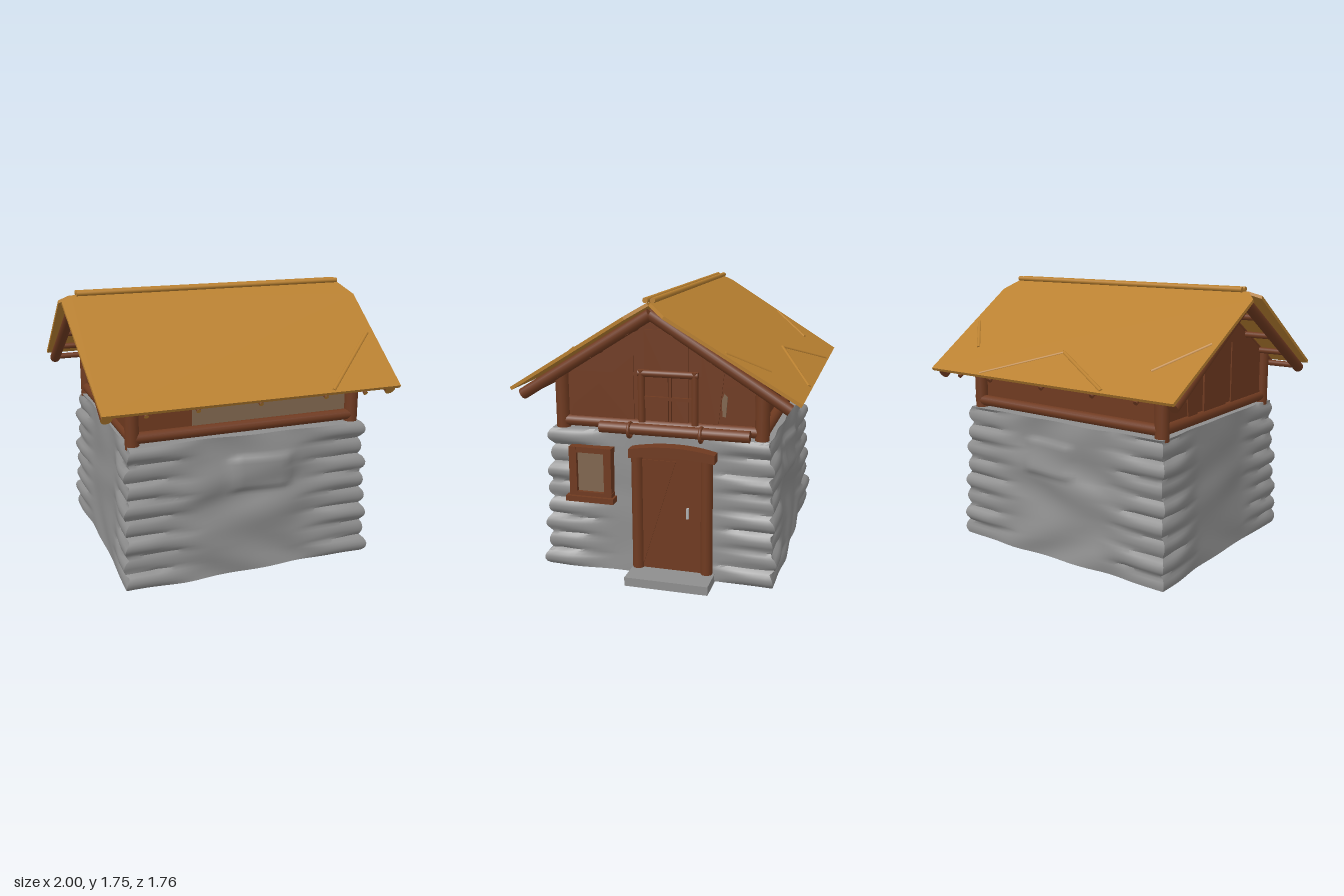
import * as THREE from 'three';
import { mergeVertices, toCreasedNormals } from 'three/addons/utils/BufferGeometryUtils.js';

const mat = (name, color) => Object.assign(new THREE.MeshStandardMaterial({ color }), { name });

export function createModel() {
  const wood = mat('brown wood', 0x6f3a20);
  const straw = mat('straw', 0xb98030);
  const stone = mat('grey stone', 0x8e8e8e);
  const pane = mat('dusty tan', 0x80664f);
  const metal = mat('light metal', 0xb0b0b0);
  const house = new THREE.Group();
  house.name = 'cottage';

  const add = (name, geo, material, parent = house) => {
    const m = new THREE.Mesh(geo, material);
    m.name = name;
    parent.add(m);
    return m;
  };
  const box = (name, sx, sy, sz, x, y, z, material) =>
    add(name, new THREE.BoxGeometry(sx, sy, sz), material).position.set(x, y, z);
  // Round pole from a to b
  const log = (name, a, b, r, material = wood) => {
    const p = new THREE.Vector3(...a), q = new THREE.Vector3(...b);
    const d = q.clone().sub(p);
    const m = add(name, new THREE.CylinderGeometry(r, r, d.length(), 12), material);
    m.position.copy(p).add(q).multiplyScalar(0.5);
    m.quaternion.setFromUnitVectors(new THREE.Vector3(0, 1, 0), d.normalize());
    return m;
  };
  // Plate facing +x, outlined by [z, y] points
  const plateX = (name, pts, x, depth, material = wood) => {
    const shape = new THREE.Shape(pts.map(([z, y]) => new THREE.Vector2(-z, y)));
    const m = add(name, new THREE.ExtrudeGeometry(shape, { depth, bevelEnabled: false }), material);
    m.rotation.y = Math.PI / 2;
    m.position.x = x;
    return m;
  };

  // Stone walls: a box pushed out into rounded courses at the corners and soft lumps between
  const HX = 0.75, HZ = 0.66, H = 0.9;
  const ss = THREE.MathUtils.smoothstep;
  const bulge = (u, y, half, seed, lumps) => {
    const corner = ss(Math.abs(u), half * 0.35, half * 0.85);
    const phase = y / 0.115 + 0.12 * Math.sin(u * 5 + seed) + 0.15;
    const course = Math.pow(Math.abs(Math.sin(Math.PI * phase)), 0.55);
    const vary = 0.8 + 0.25 * Math.sin(Math.floor(phase) * 2.7 + seed);
    const soft = 0.5 + 0.5 * Math.sin(u * 8 + seed + 2 * Math.sin(y * 6)) * Math.sin(y * 10 + u * 3);
    return 0.048 * corner * course * vary + 0.04 * (1 - y / H) + lumps * (1 - corner) * soft;
  };
  const block = (x, y) =>
    0.022 * ss(x, -0.13, -0.09) * (1 - ss(x, 0.24, 0.28)) * ss(y, 0.52, 0.57) * (1 - ss(y, 0.74, 0.78));
  let walls = new THREE.BoxGeometry(HX * 2, H, HZ * 2, 40, 50, 40);
  walls.deleteAttribute('uv');
  walls.deleteAttribute('normal');
  walls = mergeVertices(walls);
  const pos = walls.attributes.position;
  for (let i = 0; i < pos.count; i++) {
    const x = pos.getX(i), y = pos.getY(i) + H / 2, z = pos.getZ(i);
    const dx = bulge(z, y, HZ, x > 0 ? 1 : 4, x > 0 ? 0.008 : 0.015);
    const dz = bulge(x, y, HX, z > 0 ? 2 : 5, 0.045) + block(x, y);
    pos.setXYZ(i, x * (1 + dx / HX), y + 0.01, z * (1 + dz / HZ));
  }
  add('stoneWalls', toCreasedNormals(walls, 0.9), stone);
  box('doorStep', 0.27, 0.055, 0.52, 0.845, 0.0275, -0.1, stone);

  // Timber upper storey
  for (const s of [-1, 1]) {
    log('wallPlate', [-0.72, 0.955, s * 0.63], [0.72, 0.955, s * 0.63], 0.036);
    log('gablePlate', [s * 0.73, 0.955, -0.62], [s * 0.73, 0.955, 0.62], 0.036);
    for (const t of [-1, 1]) log('cornerPost', [t * 0.73, 0.89, s * 0.625], [t * 0.73, 1.28, s * 0.625], 0.044);
    box('upperWall', 1.42, 0.39, 0.03, 0, 1.115, s * 0.595, wood);
    plateX('gableWall', [[-0.61, 0.92], [0.61, 0.92], [0.61, 1.27], [0, 1.64], [-0.61, 1.27]], s * 0.72 - 0.015, 0.03);
    // Overlapping gable boards
    const bx = s > 0 ? 0.735 : -0.747;
    plateX('gableBoard', [[0.09, 0.95], [0.09, 1.54], [-0.04, 1.54], [-0.18, 1.49], [-0.18, 0.95]], bx, 0.012);
    plateX('gableBoard', [[0.58, 0.95], [0.55, 1.06], [0.38, 1.2], [0.16, 1.38], [0.16, 0.95]], bx, 0.008);
    plateX('gableBoard', [[-0.26, 0.95], [-0.26, 1.44], [-0.4, 1.33], [-0.36, 0.95]], bx, 0.008);
  }
  box('wallPatch', 1.04, 0.3, 0.008, 0.17, 1.13, 0.613, pane);
  plateX('gablePatch', [[-0.39, 1.04], [-0.41, 1.04], [-0.42, 1.16], [-0.4, 1.18], [-0.385, 1.14]], 0.742, 0.008, pane);

  // Loft window in the gable
  for (const z of [0.105, -0.225]) log('loftWindowPost', [0.76, 0.98, z], [0.76, 1.3, z], 0.022);
  log('loftWindowHead', [0.76, 1.28, 0.125], [0.76, 1.28, -0.245], 0.022);
  for (const z of [-0.055, -0.075]) box('loftWindowBar', 0.02, 0.28, 0.012, 0.755, 1.13, z, wood);
  box('loftWindowBar', 0.02, 0.02, 0.31, 0.757, 1.13, -0.06, wood);

  // Lashed beam above the door
  log('lashedBeam', [0.82, 0.95, 0.35], [0.82, 0.95, -0.57], 0.036);
  for (const z of [0.16, -0.28])
    add('beamRing', new THREE.TorusGeometry(0.042, 0.011, 8, 20), wood).position.set(0.825, 0.943, z);

  // Door
  box('doorPanel', 0.07, 0.74, 0.4, 0.77, 0.42, -0.095, wood);
  plateX('doorBoard', [[0.09, 0.08], [0.09, 0.76], [-0.12, 0.76]], 0.803, 0.008);
  for (const z of [0.125, -0.31]) log('doorPost', [0.8, 0.05, z], [0.8, 0.79, z], 0.037);
  const arch = new THREE.Shape();
  arch.moveTo(-0.17, 0.77);
  arch.quadraticCurveTo(0.1, 0.81, 0.365, 0.77);
  arch.lineTo(0.365, 0.825);
  arch.quadraticCurveTo(0.1, 0.88, -0.17, 0.825);
  const lintel = add('doorLintel', new THREE.ExtrudeGeometry(arch, { depth: 0.1, bevelEnabled: false }), wood);
  lintel.rotation.y = Math.PI / 2;
  lintel.position.x = 0.74;
  box('doorHandle', 0.02, 0.065, 0.014, 0.815, 0.44, -0.195, metal);

  // Ground floor window
  box('windowPane', 0.05, 0.28, 0.22, 0.78, 0.65, 0.42, pane);
  for (const z of [0.535, 0.31]) box('windowPost', 0.07, 0.31, 0.048, 0.795, 0.655, z, wood);
  box('windowHead', 0.066, 0.035, 0.27, 0.795, 0.793, 0.42, wood);
  box('windowRail', 0.066, 0.03, 0.27, 0.795, 0.508, 0.42, wood);
  box('windowSill', 0.1, 0.035, 0.31, 0.8, 0.48, 0.425, wood);

  // Roof slopes
  const SLOPE = 0.61, RUN = Math.hypot(1, SLOPE), angle = Math.atan(SLOPE);
  const slope = (name, pts, turn) => {
    const side = new THREE.Group();
    side.name = name;
    side.rotation.y = turn;
    const shape = new THREE.Shape(pts.map(([x, d]) => new THREE.Vector2(turn ? -x : x, -d * RUN)));
    const m = add('thatch', new THREE.ExtrudeGeometry(shape, { depth: 0.02, bevelEnabled: false }), straw, side);
    m.rotation.x = angle - Math.PI / 2;
    m.position.y = 1.7;
    house.add(side);
  };
  slope('frontRoof', [[-0.96, 0.87], [0.93, 0.87], [1, 0.12], [0.93, 0], [-0.93, 0], [-1, 0.04]], 0);
  slope('backRoof', [[-0.965, 0.87], [0.93, 0.87], [1, 0.1], [0.93, 0], [-0.94, 0], [-1, 0.06]], Math.PI);
  for (const z of [-0.022, 0.022]) log('ridgePole', [-0.9, 1.73, z], [0.92, 1.73, z], 0.016, straw);

  // Creases standing out of the thatch
  const onRoof = (x, z) => [x, 1.718 - SLOPE * Math.abs(z), z];
  for (const [x1, z1, x2, z2] of [
    [0.47, 0.86, 0.92, 0.46], [-0.94, -0.44, -0.69, -0.68], [0.71, -0.66, 0.92, -0.44],
    [-0.47, -0.86, 0, -0.62], [0.5, -0.86, 0, -0.62],
  ]) log('thatchCrease', onRoof(x1, z1), onRoof(x2, z2), 0.013, straw);

  // Rafters and purlins
  for (const s of [-1, 1]) {
    const ends = s > 0 ? [wood, straw, wood] : wood;
    for (const x of [-0.92, 0.9]) log('gableRafter', [x, 1.65, 0], [x, 1.143, s * 0.81], 0.035, ends);
    for (const x of [-0.7, -0.39, 0, 0.43, 0.7]) log('rafter', [x, 1.675, 0], [x, 1.15, s * 0.85], 0.014, ends);
    for (const z of [0.14, 0.37, 0.58, 0.76])
      log('purlin', [-0.92, 1.635 - 0.62 * z, s * z], [0.92, 1.635 - 0.62 * z, s * z], 0.02);
  }
  return house;
}
